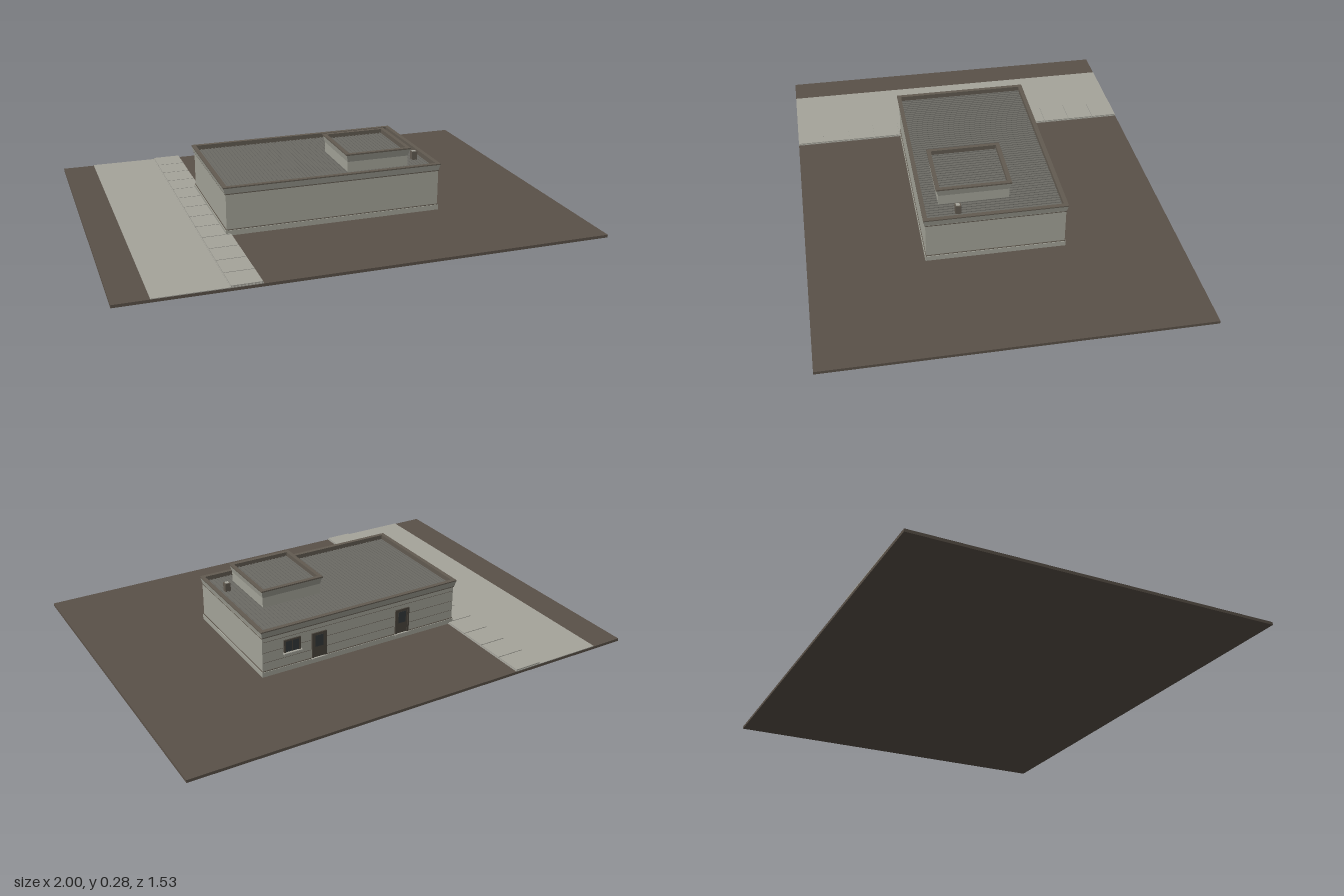
import * as THREE from 'three';

const material = (name, color) => {
  const m = new THREE.MeshStandardMaterial({ color });
  m.name = name;
  return m;
};

export function createModel() {
  const model = new THREE.Group();
  model.name = 'flatRoofedBuilding';
  const earth = material('earth', 0x5a5148);
  const concrete = material('paleConcrete', 0xa5a49b);
  const plaster = material('plaster', 0xa3a398);
  const capping = material('brownCapping', 0x625b51);
  const roofing = material('roofing', 0x6c6b65);
  const joinery = material('darkJoinery', 0x4a443c);
  const glass = material('glass', 0x33383a);

  // Box given by its extents on each axis
  const box = (name, mat, x0, x1, y0, y1, z0, z1, parent = model) => {
    const mesh = new THREE.Mesh(new THREE.BoxGeometry(x1 - x0, y1 - y0, z1 - z0), mat);
    mesh.position.set((x0 + x1) / 2, (y0 + y1) / 2, (z0 + z1) / 2);
    mesh.name = name;
    parent.add(mesh);
    return mesh;
  };

  // Rectangular rings [halfWidth, halfDepth, y] joined by flat quads
  const rings = (name, mat, cx, cz, profile) => {
    const corners = [[1, 1], [1, -1], [-1, -1], [-1, 1]];
    const points = [];
    const at = ([w, d, y], j) => [corners[j % 4][0] * w, y, corners[j % 4][1] * d];
    for (let i = 0; i < profile.length - 1; i++) {
      for (let j = 0; j < 4; j++) {
        const a = at(profile[i], j), b = at(profile[i], j + 1);
        const c = at(profile[i + 1], j + 1), d = at(profile[i + 1], j);
        points.push(...a, ...b, ...c, ...a, ...c, ...d);
      }
    }
    const geometry = new THREE.BufferGeometry();
    geometry.setAttribute('position', new THREE.Float32BufferAttribute(points, 3));
    geometry.computeVertexNormals();
    const mesh = new THREE.Mesh(geometry, mat);
    mesh.position.set(cx, 0, cz);
    mesh.name = name;
    model.add(mesh);
  };

  // Ribbed sheet roof with its ribs running front to back
  const ribbedRoof = (name, x0, x1, y, z0, z1) => {
    const group = new THREE.Group();
    group.name = name;
    box('roofDeck', roofing, x0, x1, y - 0.01, y, z0, z1, group);
    const count = Math.round((x1 - x0) / 0.016);
    const step = (x1 - x0) / count;
    for (let i = 0; i < count; i++) {
      const x = x0 + (i + 0.5) * step;
      box('roofRib', roofing, x - 0.003, x + 0.003, y, y + 0.003, z0, z1, group);
    }
    model.add(group);
  };

  // Ground, road and paved footpath
  box('ground', earth, -1, 1, 0, 0.012, -0.765, 0.765);
  box('road', concrete, -0.86, -0.57, 0.012, 0.015, -0.765, 0.765);
  box('pathBed', concrete, -0.57, -0.445, 0.012, 0.016, -0.765, 0.765);
  const slabs = 13, pitch = 1.53 / slabs;
  for (let i = 0; i < slabs; i++) {
    const z = -0.765 + i * pitch;
    box('pavingSlab', concrete, -0.567, -0.447, 0.016, 0.021, z + 0.002, z + pitch - 0.002);
  }

  // Main walls: plinth, shaft and flared parapet
  const cz = -0.002;
  rings('plinth', plaster, 0, cz, [[0.468, 0.291, 0.01], [0.468, 0.291, 0.034], [0.464, 0.287, 0.036]]);
  rings('plinthLine', capping, 0, cz, [[0.4665, 0.2895, 0.034], [0.4665, 0.2895, 0.038], [0.464, 0.287, 0.038]]);
  rings('walls', plaster, 0, cz, [[0.464, 0.287, 0.03], [0.464, 0.287, 0.19]]);
  rings('corniceLine', capping, 0, cz, [[0.464, 0.287, 0.187], [0.467, 0.29, 0.187], [0.467, 0.29, 0.191]]);
  rings('flaredParapet', plaster, -0.002, cz, [[0.466, 0.289, 0.19], [0.472, 0.294, 0.216]]);
  rings('parapetCap', capping, -0.002, cz, [
    [0.465, 0.287, 0.215], [0.473, 0.295, 0.215], [0.473, 0.295, 0.22],
    [0.455, 0.277, 0.22], [0.455, 0.277, 0.195],
  ]);
  ribbedRoof('mainRoof', -0.458, 0.454, 0.199, -0.28, 0.276);

  // Raised roof room
  const tx = 0.215, tz = 0.07;
  rings('roofRoomWalls', plaster, tx, tz, [[0.136, 0.146, 0.195], [0.136, 0.146, 0.245], [0.143, 0.154, 0.276]]);
  rings('roofRoomCap', capping, tx, tz, [
    [0.136, 0.148, 0.275], [0.145, 0.156, 0.275], [0.145, 0.156, 0.281],
    [0.128, 0.139, 0.281], [0.128, 0.139, 0.255],
  ]);
  ribbedRoof('roofRoomRoof', tx - 0.129, tx + 0.129, 0.262, tz - 0.14, tz + 0.14);

  // Roof vent
  box('ventStack', capping, 0.398, 0.422, 0.198, 0.237, 0.133, 0.157);
  box('ventTop', concrete, 0.402, 0.418, 0.237, 0.239, 0.137, 0.153);

  // Frame of two jambs and a head around an opening in the back wall
  const back = cz - 0.287;
  const frame = (name, x, half, y0, y1) => {
    const group = new THREE.Group();
    group.name = name;
    for (const s of [-1, 1]) {
      const jx = x + s * half;
      box('jamb', joinery, jx - 0.004, jx + 0.004, y0, y1, back - 0.006, back, group);
    }
    box('head', joinery, x - half, x + half, y1 - 0.007, y1, back - 0.006, back, group);
    model.add(group);
    return group;
  };

  // Back doors with steps
  for (const x of [0.205, -0.2]) {
    const door = frame('backDoor', x, 0.03, 0.037, 0.15);
    box('doorLeaf', joinery, x - 0.028, x + 0.028, 0.037, 0.146, back - 0.003, back, door);
    box('doorGlass', glass, x - 0.018, x + 0.018, 0.085, 0.137, back - 0.004, back, door);
    box('doorStep', concrete, x - 0.036, x + 0.036, 0.029, 0.037, back - 0.011, back, door);
  }

  // Back window with sill and mullion
  const wx = 0.33;
  const window = frame('backWindow', wx, 0.034, 0.097, 0.155);
  box('windowGlass', glass, wx - 0.032, wx + 0.032, 0.097, 0.152, back - 0.003, back, window);
  box('mullion', joinery, wx - 0.002, wx + 0.002, 0.097, 0.152, back - 0.005, back, window);
  box('windowSill', concrete, wx - 0.042, wx + 0.042, 0.092, 0.098, back - 0.014, back, window);

  // Thin joint lines along the back wall, broken at the openings
  const runs = {
    0.168: [[-0.46, 0.46]],
    0.12: [[-0.46, -0.238], [-0.162, 0.167], [0.243, 0.288], [0.372, 0.46]],
    0.075: [[-0.46, -0.238], [-0.162, 0.167], [0.243, 0.46]],
  };
  for (const [y, spans] of Object.entries(runs)) {
    for (const [x0, x1] of spans) {
      box('wallJoint', capping, x0, x1, +y - 0.0008, +y + 0.0008, back - 0.001, back);
    }
  }
  return model;
}
